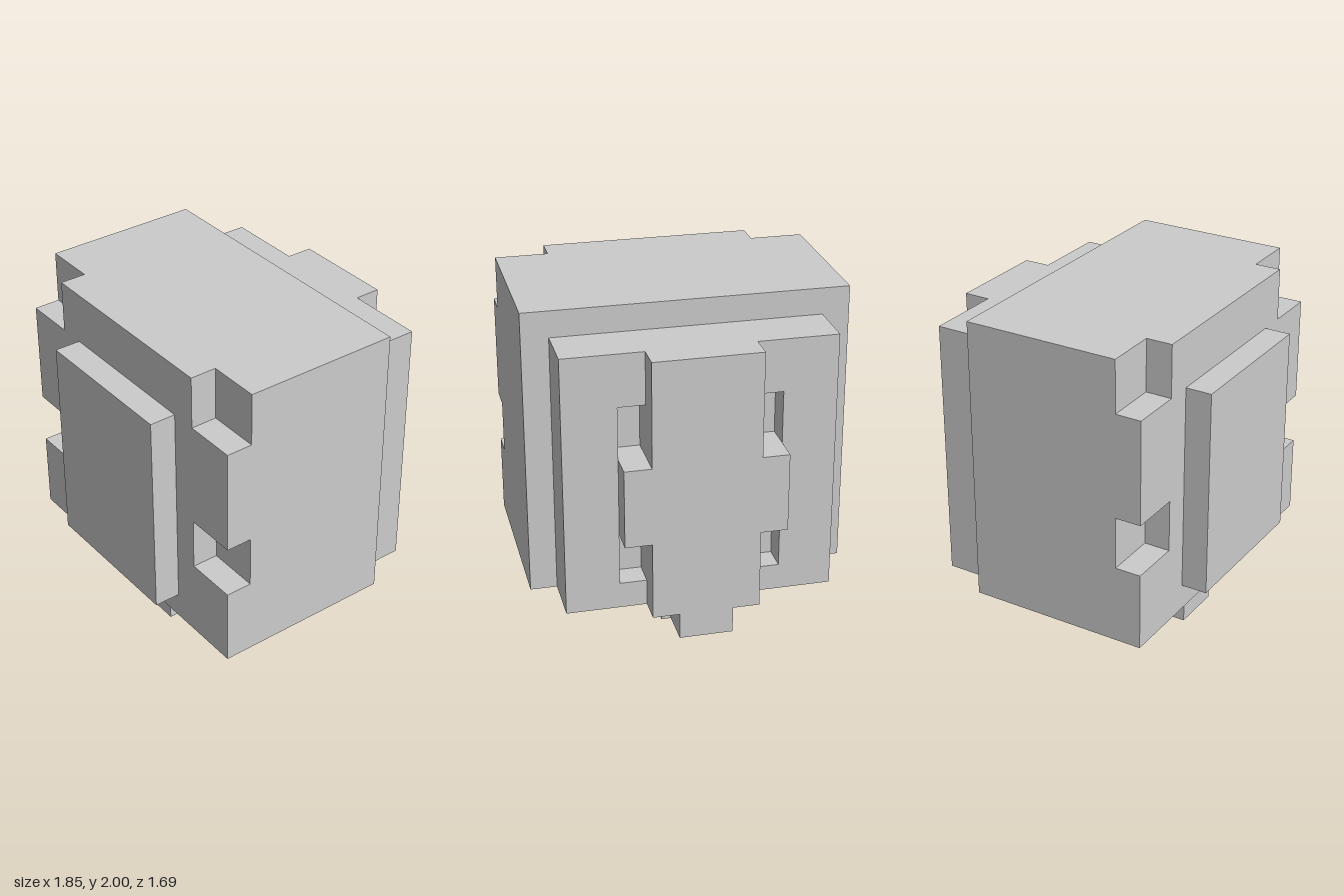
import * as THREE from 'three';

// everything sits on a block grid, 13 blocks tall
const U = 2 / 13;
const material = new THREE.MeshStandardMaterial({ color: 0xcccccc, flatShading: true });

function add(group, name, geometry) {
  const mesh = new THREE.Mesh(geometry, material);
  mesh.name = name;
  group.add(mesh);
}

// box between two corners, in grid units
function block(x0, x1, y0, y1, z0, z1) {
  return new THREE.BoxGeometry((x1 - x0) * U, (y1 - y0) * U, (z1 - z0) * U)
    .translate((x0 + x1) / 2 * U, (y0 + y1) / 2 * U, (z0 + z1) / 2 * U);
}

// symmetric outline from the +x half (bottom to top), mirrored
function mirroredShape(half) {
  const left = half.slice().reverse().map(([x, y]) => [-x, y]);
  return new THREE.Shape([...half, ...left].map(([x, y]) => new THREE.Vector2(x * U, y * U)));
}

function slab(shape, z0, z1) {
  return new THREE.ExtrudeGeometry(shape, { depth: (z1 - z0) * U, bevelEnabled: false })
    .translate(0, 0, z0 * U);
}

function rectHole(x0, x1, y0, y1) {
  return new THREE.Path([[x0, y0], [x0, y1], [x1, y1], [x1, y0]]
    .map(([x, y]) => new THREE.Vector2(x * U, y * U)));
}

export function createModel() {
  const model = new THREE.Group();
  model.name = 'model';

  // main body with a notched front layer and a raised panel
  add(model, 'body', block(-6, 6, 2, 13, -2.5, 3.5));
  const notched = mirroredShape([[6, 2], [6, 5], [4, 5], [4, 7], [6, 7], [6, 11], [4, 11], [4, 13]]);
  add(model, 'notchedFront', slab(notched, 3.5, 4.5));
  add(model, 'frontPanel', block(-3, 3, 3, 11, 4.5, 5.5));

  // back block, its outer layer pierced by shallow slots
  add(model, 'backBlock', block(-5, 5, 2, 12, -3.5, -2.5));
  const slotted = mirroredShape([[5, 2], [5, 12]]);
  for (const x of [-3, 2]) {
    for (const [y0, y1] of [[3, 5], [8, 10]]) slotted.holes.push(rectHole(x, x + 1, y0, y1));
  }
  add(model, 'slottedBackLayer', slab(slotted, -4.5, -3.5));

  // cross-shaped spine on the back
  const spine = mirroredShape([[2, 2], [2, 5], [3, 5], [3, 8], [2, 8], [2, 12]]);
  add(model, 'spine', slab(spine, -5.5, -4.5));

  // keel underneath, shallower towards the back
  add(model, 'keel', block(-1, 1, 0, 2, -2.5, 3.5));
  add(model, 'rearKeel', block(-1, 1, 1, 2, -5.5, -2.5));

  return model;
}
